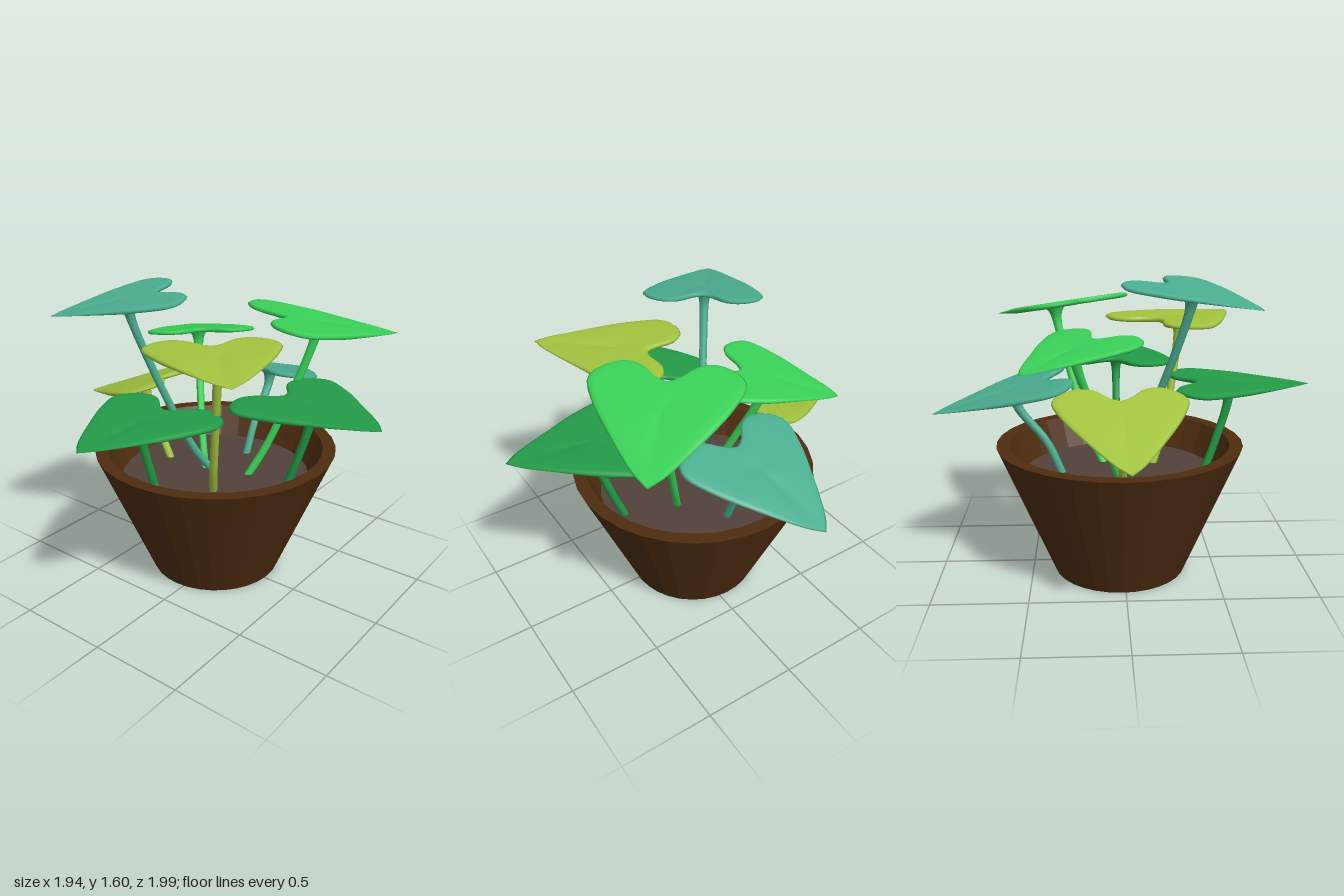
import * as THREE from 'three';

const mat = (name, color) => {
  const m = new THREE.MeshStandardMaterial({ color });
  m.name = name;
  return m;
};

// Half outline of a heart leaf: [along axis, across], notch to tip; origin is the stem joint
const HALF = [[-0.175, 0], [-0.196, 0.046], [-0.238, 0.088], [-0.284, 0.134], [-0.302, 0.216],
  [-0.249, 0.311], [-0.175, 0.348], [-0.026, 0.3], [0.165, 0.194], [0.37, 0.06], [0.43, 0]];
const TIP = 0.43;
// Pillow section from centre of the top, round the rim, to centre of the underside: [scale, height]
const SECTION = [[0, 0.012], [0.25, 0.013], [0.5, 0.014], [0.75, 0.015], [0.9, 0.014], [0.97, 0.01],
  [1, 0], [0.97, -0.01], [0.9, -0.013], [0.6, -0.012], [0.3, -0.012], [0, -0.012]];

function leafGeometry() {
  const curve = new THREE.CatmullRomCurve3(HALF.map(([u, v]) => new THREE.Vector3(u, 0, v)));
  const half = curve.getSpacedPoints(32);
  const mirrored = half.slice(1, -1).reverse().map((p) => new THREE.Vector3(p.x, 0, -p.z));
  const rim = [...half, ...mirrored];
  const n = rim.length;
  const pos = [], index = [];
  SECTION.forEach(([f, h], i) => {
    rim.forEach((p, j) => {
      const u = p.x * f, v = p.z * f;
      // thin towards the tip, with a shallow fold along the midrib
      const taper = THREE.MathUtils.clamp((TIP - u) / 0.35, 0.2, 1);
      const fold = 0.007 * Math.exp(-((v / 0.03) ** 2)) * THREE.MathUtils.smoothstep(u, -0.1, 0.1);
      pos.push(u, h * taper - fold * taper, v);
      if (i < SECTION.length - 1) {
        const k = (j + 1) % n, a = i * n, b = a + n;
        index.push(a + j, b + j, b + k, a + j, b + k, a + k);
      }
    });
  });
  const g = new THREE.BufferGeometry();
  g.setAttribute('position', new THREE.Float32BufferAttribute(pos, 3));
  g.setIndex(index);
  g.computeVertexNormals();
  return g;
}

// Curved stem that flares like a trumpet where it meets the leaf
function stemGeometry(points) {
  const curve = new THREE.CatmullRomCurve3(points);
  const length = curve.getLength(), seg = 28, radial = 10, r = 0.021;
  const g = new THREE.TubeGeometry(curve, seg, r, radial);
  const pos = g.attributes.position, p = new THREE.Vector3();
  for (let i = 0; i <= seg; i++) {
    const c = curve.getPointAt(i / seg);
    const left = (1 - i / seg) * length;
    const k = 1 + 1.3 * Math.exp(-left / 0.03) + 0.25 * Math.exp(-left / 0.12);
    for (let j = 0; j <= radial; j++) {
      const q = i * (radial + 1) + j;
      p.fromBufferAttribute(pos, q).sub(c).multiplyScalar(k).add(c);
      pos.setXYZ(q, p.x, p.y, p.z);
    }
  }
  g.computeVertexNormals();
  return g;
}

export function createModel() {
  const model = new THREE.Group();
  model.name = 'pottedPlant';
  const brown = mat('pot brown', 0x4f2d10);
  const earth = mat('soil brown', 0x51413b);
  const teal = mat('teal leaf', 0x4bae90);
  const deep = mat('deep green leaf', 0x249c48);
  const bright = mat('bright green leaf', 0x39d058);
  const lime = mat('lime leaf', 0xa2c53f);

  // Pot: faceted tapering shell with a rim and inner wall
  const profile = [[0, 0], [0.36, 0], [0.66, 0.72], [0.59, 0.72], [0.51, 0.53]]
    .map(([x, y]) => new THREE.Vector2(x, y));
  const potGeometry = new THREE.LatheGeometry(profile, 32).toNonIndexed();
  potGeometry.computeVertexNormals();
  const pot = new THREE.Mesh(potGeometry, brown);
  pot.name = 'pot';
  pot.position.set(-0.05, 0, -0.02);
  model.add(pot);

  // Soil disc
  const soil = new THREE.Mesh(new THREE.CircleGeometry(0.52, 32).rotateX(-Math.PI / 2), earth);
  soil.name = 'soil';
  soil.position.set(-0.05, 0.55, -0.02);
  model.add(soil);

  // Each plant: leaf tip, stem joint, stem at rim height [x, z], stem at soil [x, z]
  const plants = [
    ['backLeaf', teal, [-0.13, 0.9, -1.0], [-0.07, 1.01, -0.58], [-0.06, -0.41], [-0.06, -0.33]],
    ['leftSideLeaf', deep, [0.97, 1.08, 0.06], [0.54, 1.08, -0.02], [0.46, -0.02], [0.39, -0.02]],
    ['frontLeaf', deep, [-0.05, 1.03, 0.99], [-0.055, 1.035, 0.56], [-0.055, 0.5], [-0.055, 0.44]],
    ['rightSideLeaf', lime, [-0.97, 0.845, 0], [-0.575, 0.975, -0.02], [-0.47, -0.02], [-0.38, -0.02]],
    ['tallRightLeaf', teal, [-0.58, 1.49, 0.62], [-0.345, 1.55, 0.32], [-0.16, 0.06], [-0.09, -0.04]],
    ['tallLeftLeaf', lime, [0.53, 1.35, 0.62], [0.22, 1.35, 0.315], [0.13, 0.23], [0.08, 0.17]],
    ['backLeftLeaf', bright, [0.65, 1.315, -0.72], [0.36, 1.4, -0.37], [0.18, -0.19], [0.11, -0.105]],
    ['backRightLeaf', bright, [-0.61, 1.205, -0.5], [-0.35, 1.275, -0.25], [-0.19, -0.08], [-0.13, -0.03]],
  ];
  const leafShape = leafGeometry();
  for (const [name, material, tipAt, jointAt, low, base] of plants) {
    const joint = new THREE.Vector3(...jointAt);
    const d = new THREE.Vector3(...tipAt).sub(joint);
    const leaf = new THREE.Mesh(leafShape, material);
    leaf.name = name;
    leaf.position.copy(joint);
    leaf.rotation.set(0, Math.atan2(-d.z, d.x), Math.atan2(d.y, Math.hypot(d.x, d.z)), 'YZX');
    leaf.scale.setScalar(d.length() / TIP);
    model.add(leaf);

    const up = new THREE.Vector3(0, 1, 0).applyEuler(leaf.rotation);
    const stem = new THREE.Mesh(stemGeometry([
      new THREE.Vector3(base[0], 0.54, base[1]),
      new THREE.Vector3(low[0], 0.72, low[1]),
      joint.clone().addScaledVector(up, -0.1),
      joint.clone().addScaledVector(up, -0.01),
    ]), material);
    stem.name = name.replace('Leaf', 'Stem');
    model.add(stem);
  }
  return model;
}
